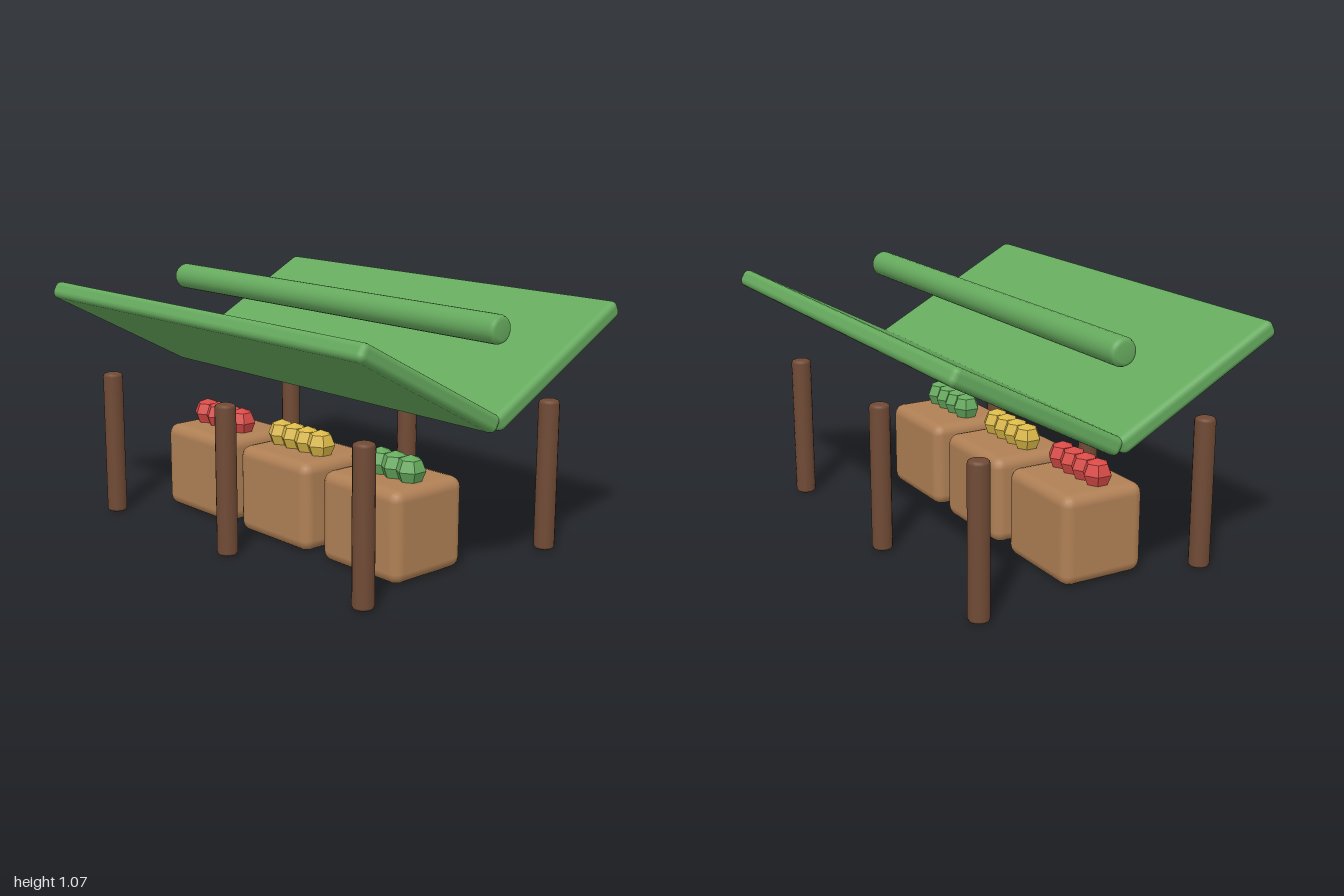
import * as THREE from 'three';
import { RoundedBoxGeometry } from 'three/addons/geometries/RoundedBoxGeometry.js';

const mat = (name, color, flatShading = false) =>
  Object.assign(new THREE.MeshStandardMaterial({ color, flatShading }), { name });

// Cylinder with bevelled rims, centred on the origin along y
function bevelledCylinder(r, height, bevel, sides) {
  const h = height / 2;
  const p = (x, y) => new THREE.Vector2(x, y);
  const k = bevel * 0.3;
  return new THREE.LatheGeometry([
    p(0, -h), p(r - bevel, -h), p(r - k, -h + k), p(r, -h + bevel),
    p(r, h - bevel), p(r - k, h - k), p(r - bevel, h), p(0, h),
  ], sides);
}

export function createModel() {
  const model = new THREE.Group();
  model.name = 'marketStall';

  const canvas = mat('canvasGreen', 0x66aa5e);
  const wood = mat('darkWood', 0x704a35);
  const crateWood = mat('crateWood', 0xb08055);
  const red = mat('redFruit', 0xd84a46, true);
  const yellow = mat('yellowFruit', 0xdab848, true);
  const green = mat('greenFruit', 0x66aa5e, true);

  const add = (parent, name, geometry, material, x, y, z) => {
    const mesh = new THREE.Mesh(geometry, material);
    mesh.name = name;
    mesh.position.set(x, y, z);
    parent.add(mesh);
    return mesh;
  };

  // Six posts, front and back rows
  const postGeo = bevelledCylinder(0.044, 0.64, 0.014, 16);
  for (const x of [-0.82, 0, 0.82]) {
    add(model, 'frontPost', postGeo, wood, x, 0.32, 0.533);
    add(model, 'backPost', postGeo, wood, x, 0.32, -0.51);
  }

  // Two awning panels meeting in a valley
  const panelGeo = new RoundedBoxGeometry(2, 0.075, 0.81, 2, 0.026);
  for (const s of [1, -1]) {
    const panel = add(model, s > 0 ? 'frontAwning' : 'backAwning', panelGeo, canvas, 0, 0.833, s * 0.355);
    panel.rotation.x = -s * 0.489;
  }

  // Pole floating above the valley
  const pole = add(model, 'ridgePole', bevelledCylinder(0.0575, 2, 0.02, 24), canvas, 0, 1.012, 0);
  pole.rotation.z = Math.PI / 2;

  // Three crates, each with a row of four faceted fruits
  const crateGeo = new RoundedBoxGeometry(0.445, 0.383, 0.381, 2, 0.048);
  const fruitGeo = new THREE.SphereGeometry(0.0635, 6, 4).rotateY(Math.PI / 2);
  [red, yellow, green].forEach((fruit, i) => {
    const crate = new THREE.Group();
    crate.name = 'fruitCrate';
    crate.position.x = (i - 1) * 0.532;
    add(crate, 'crate', crateGeo, crateWood, 0, 0.1915, 0.1075);
    for (let j = 0; j < 4; j++) add(crate, 'fruit', fruitGeo, fruit, (j - 1.5) * 0.084, 0.425, 0.128);
    model.add(crate);
  });

  return model;
}
